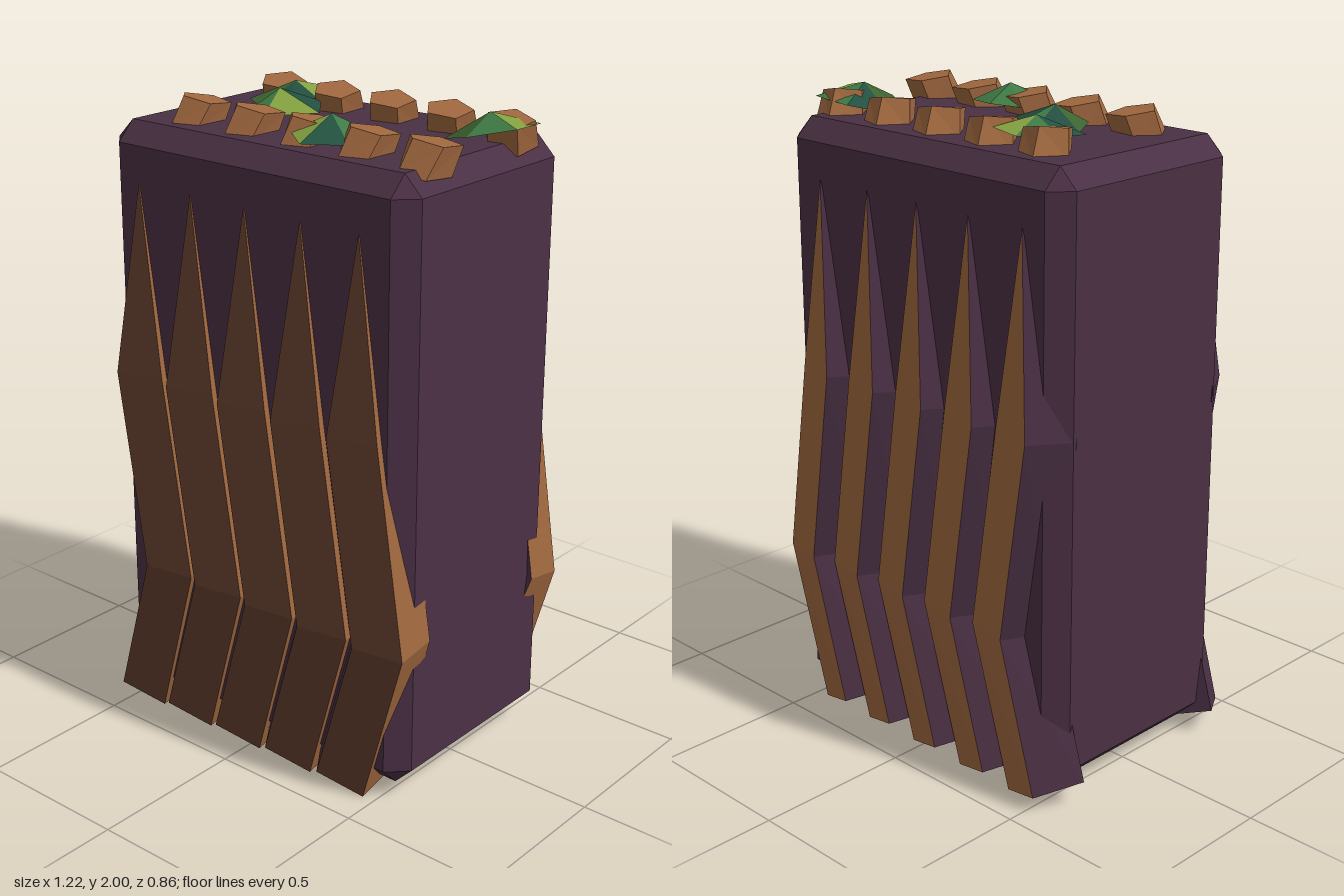
import * as THREE from 'three';
import { ConvexGeometry } from 'three/addons/geometries/ConvexGeometry.js';

const mat = (name, color) => {
  const m = new THREE.MeshStandardMaterial({ color, flatShading: true, side: THREE.DoubleSide });
  m.name = name;
  return m;
};

// Mesh from a list of triangles; mirror flips z and the winding
function triMesh(name, tris, material, mirror = false) {
  const pos = [];
  for (const t of tris) {
    const pts = mirror ? [t[0], t[2], t[1]] : t;
    for (const [x, y, z] of pts) pos.push(x, y, mirror ? -z : z);
  }
  const g = new THREE.BufferGeometry();
  g.setAttribute('position', new THREE.Float32BufferAttribute(pos, 3));
  g.computeVertexNormals();
  const m = new THREE.Mesh(g, material);
  m.name = name;
  return m;
}

const quad = (a, b, c, d) => [[a, b, c], [a, c, d]];

export function createModel() {
  const model = new THREE.Group();
  model.name = 'mossyPillar';
  const purple = mat('purpleStone', 0x4a3044);
  const darkBrown = mat('darkBrown', 0x5e3b2b);
  const brown = mat('brown', 0xa1683f);
  const greens = {
    l: mat('lightGreen', 0x82a040),
    m: mat('midGreen', 0x3f7a45),
    o: mat('oliveGreen', 0x3d6330),
    d: mat('darkGreen', 0x235040),
  };

  // Chamfered stone block
  const lo = [-0.56, 0.045, -0.37], hi = [0.585, 1.915, 0.37], c = 0.06;
  const corners = [];
  for (let i = 0; i < 8; i++) {
    for (let axis = 0; axis < 3; axis++) {
      const p = [0, 1, 2].map((k) => {
        const inset = k === axis ? 0 : c;
        return (i >> k) & 1 ? hi[k] - inset : lo[k] + inset;
      });
      corners.push(new THREE.Vector3(...p));
    }
  }
  const block = new THREE.Mesh(new ConvexGeometry(corners), purple);
  block.name = 'block';
  model.add(block);

  // Zigzag ribs: sections run front left, front right, back right, back left
  const sections = [
    [[-0.525, 0.05, 0.43], [-0.38, 0, 0.385], [-0.40, 0.02, 0.2], [-0.61, 0.085, 0.3]],
    [[-0.39, 0.52, 0.43], [-0.235, 0.51, 0.39], [-0.235, 0.53, 0.26], [-0.48, 0.53, 0.3]],
    [[-0.487, 1.15, 0.43], [-0.335, 1.155, 0.39], [-0.335, 1.16, 0.26], [-0.565, 1.145, 0.3]],
    Array(4).fill([-0.42, 1.745, 0.373]),
  ];
  function addRib(dx, mirror) {
    const s = sections.map((sec) => sec.map(([x, y, z]) => [x + dx, y, z]));
    const side = (i) => {
      const j = (i + 1) % 4, out = [];
      for (let k = 0; k < 3; k++) {
        const q = quad(s[k][i], s[k][j], s[k + 1][j], s[k + 1][i]);
        out.push(...(k === 2 ? q.slice(0, 1) : q));
      }
      return out;
    };
    const b = s[0];
    const rib = new THREE.Group();
    rib.name = mirror ? 'backRib' : 'frontRib';
    rib.add(
      triMesh('ribFace', side(0), mirror ? brown : darkBrown, mirror),
      triMesh('ribRightAndEnd', [...side(1), ...quad(b[0], b[3], b[2], b[1])], brown, mirror),
      triMesh('ribLeftAndBack', [...side(3), ...side(2)], purple, mirror),
    );
    model.add(rib);
  }

  // Tilted five-sided pebbles in two mirrored rows
  const top = [[-0.41, 1.985, 0.18], [-0.355, 1.992, 0.24], [-0.27, 1.975, 0.215],
    [-0.27, 1.965, 0.125], [-0.36, 1.972, 0.11]];
  const bottom = [[-0.43, 1.9, 0.2], [-0.37, 1.905, 0.283], [-0.29, 1.89, 0.265],
    [-0.285, 1.88, 0.155], [-0.38, 1.88, 0.14]];
  function addPebble(dx, mirror) {
    const move = ([x, y, z]) => [x + dx, y, z];
    const t = top.map(move), b = bottom.map(move), tris = [];
    for (let i = 0; i < 5; i++) {
      const j = (i + 1) % 5;
      tris.push(...quad(b[i], b[j], t[j], t[i]));
      if (i > 0 && i < 4) tris.push([t[0], t[i], t[j]], [b[0], b[j], b[i]]);
    }
    model.add(triMesh('pebble', tris, brown, mirror));
  }

  for (let i = 0; i < 5; i++) {
    for (const mirror of [false, true]) {
      addRib(i * 0.21, mirror);
      addPebble(i * 0.2125, mirror);
    }
  }

  // Faceted leaf clumps: apex, rim points clockwise from above, a colour per facet
  const clumps = [
    { apex: [-0.245, 1.995, -0.135], colors: 'llddodm',
      rim: [[-0.26, 1.95, -0.235], [-0.175, 1.965, -0.24], [-0.13, 1.94, -0.13], [-0.2, 1.93, -0.03],
        [-0.28, 1.93, -0.01], [-0.35, 1.94, -0.04], [-0.345, 1.945, -0.14]] },
    { apex: [-0.19, 2, 0], colors: 'dlmodm',
      rim: [[-0.145, 1.945, -0.135], [-0.035, 1.945, 0], [-0.145, 1.94, 0.125], [-0.23, 1.94, 0.1],
        [-0.285, 1.93, 0], [-0.22, 1.94, -0.125]] },
    { apex: [0.155, 2, 0.17], colors: 'mmdlmm',
      rim: [[0.14, 1.95, 0.065], [0.25, 1.945, 0.1], [0.255, 1.93, 0.215], [0.165, 1.94, 0.32],
        [0.065, 1.95, 0.245], [0.06, 1.94, 0.125]] },
    { apex: [0.48, 2, -0.135], colors: 'mlmood',
      rim: [[0.425, 1.95, -0.255], [0.575, 1.96, -0.25], [0.603, 1.973, -0.09], [0.48, 1.945, -0.02],
        [0.375, 1.92, -0.06], [0.365, 1.92, -0.145]] },
  ];
  for (const { apex, rim, colors } of clumps) {
    const clump = new THREE.Group();
    clump.name = 'leafClump';
    rim.forEach((p, i) => {
      const next = rim[(i + 1) % rim.length];
      clump.add(triMesh('leaf', [[apex, next, p]], greens[colors[i]]));
    });
    model.add(clump);
  }
  return model;
}
